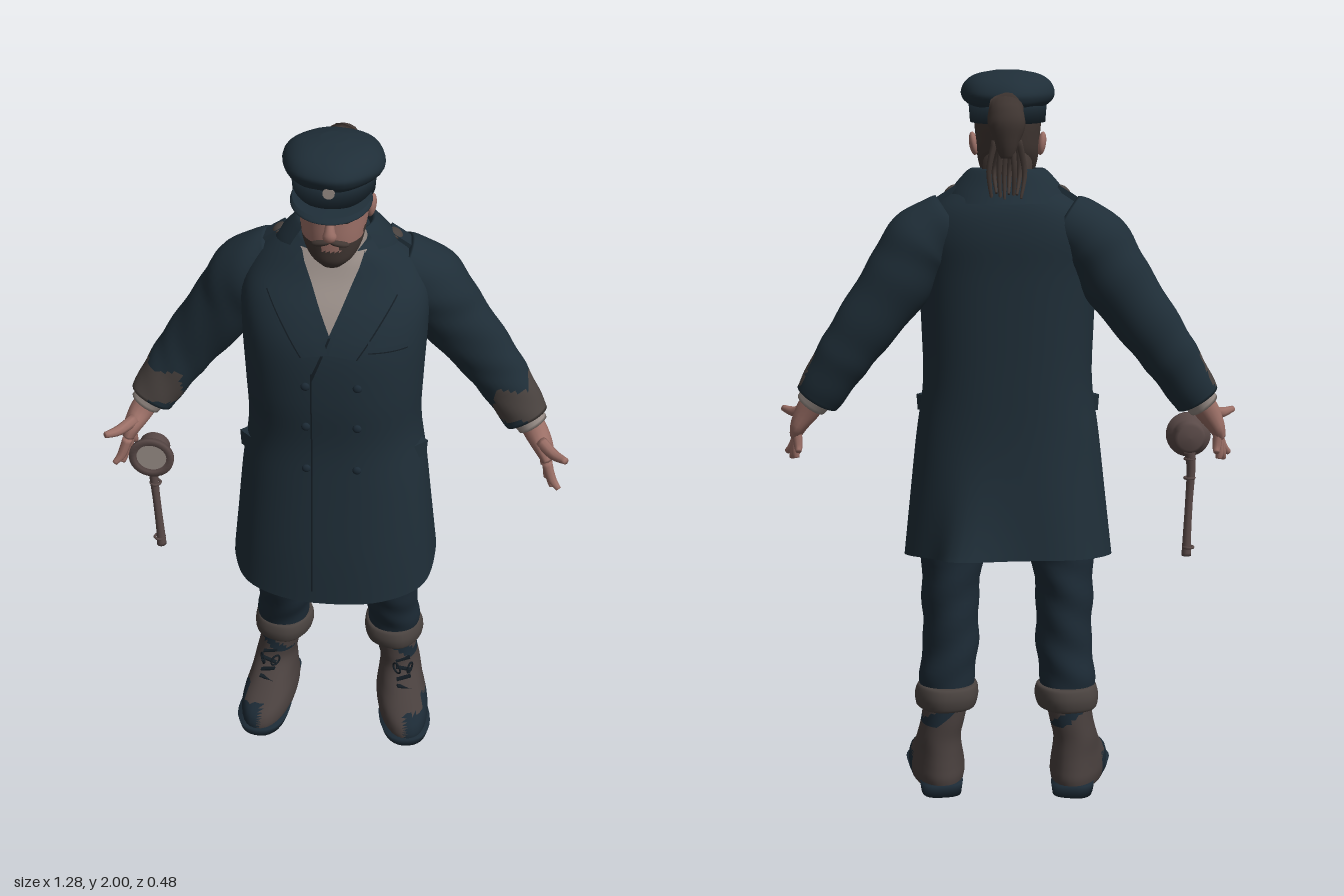
import * as THREE from 'three';

const mat = (name, color) => new THREE.MeshStandardMaterial({ name, color, side: THREE.DoubleSide });
const M = {
  coat: mat('coat navy', 0x1f2e38), trouser: mat('trouser navy', 0x1c2a35), dark: mat('seam dark', 0x131c23),
  boot: mat('boot brown', 0x483f3d), hair: mat('hair brown', 0x413733), skin: mat('skin', 0x9c7067),
  shirt: mat('shirt grey', 0x988d87), horn: mat('worn metal', 0x5a4a48), patch: mat('worn cloth', 0x49423f),
};
const V = (x, y, z) => new THREE.Vector3(x, y, z);

// Catmull-Rom smoothing of rows of numbers
function dense(rows, k = 5) {
  const out = [], at = i => rows[Math.max(0, Math.min(rows.length - 1, i))];
  for (let i = 0; i < rows.length - 1; i++) for (let q = 0; q < k; q++) {
    const t = q / k, [a, b, c, d] = [at(i - 1), at(i), at(i + 1), at(i + 2)];
    out.push(b.map((v, n) => 0.5 * (2 * v + (c[n] - a[n]) * t + (2 * a[n] - 5 * v + 4 * c[n] - d[n]) * t * t
      + (3 * v - a[n] - 3 * c[n] + d[n]) * t * t * t)));
  }
  out.push(rows[rows.length - 1]);
  return out;
}

// Skin a list of rings; pick(centre) chooses the material of each face
function skin(name, rings, mats, { pick = () => 0, open = false, caps = [true, true] } = {}) {
  const list = [].concat(mats), pts = rings.flat(), n = rings[0].length, idx = list.map(() => []);
  const tri = (a, b, c) => {
    const m = pts[a].clone().add(pts[b]).add(pts[c]).divideScalar(3);
    idx[pick(m)].push(a, b, c);
  };
  for (let i = 0; i < rings.length - 1; i++) for (let j = 0; j < (open ? n - 1 : n); j++) {
    const a = i * n + j, b = i * n + (j + 1) % n;
    tri(a, b, b + n); tri(a, b + n, a + n);
  }
  [0, rings.length - 1].forEach((r, e) => {
    if (!caps[e] || open) return;
    const c = pts.length;
    pts.push(rings[r].reduce((s, p) => s.add(p), V(0, 0, 0)).divideScalar(n));
    for (let j = 0; j < n; j++) {
      const a = r * n + j, b = r * n + (j + 1) % n;
      e ? tri(a, b, c) : tri(b, a, c);
    }
  });
  const g = new THREE.BufferGeometry().setFromPoints(pts);
  g.setIndex(idx.flat());
  let s = 0;
  idx.forEach((t, i) => { g.addGroup(s, t.length, i); s += t.length; });
  g.computeVertexNormals();
  const mesh = new THREE.Mesh(g, list.length > 1 ? list : list[0]);
  mesh.name = name;
  return mesh;
}

// Horizontal rings from rows [y, cx, cz, rx, rz, tilt]
function rings(rows, { seg = 32, n = 2, a0 = 0, a1 = Math.PI * 2, fold = () => 0, open = false } = {}) {
  const pw = v => Math.sign(v) * Math.abs(v) ** (2 / n);
  return rows.map(([y, cx, cz, rx, rz, tilt = 0]) => Array.from({ length: open ? seg + 1 : seg }, (_, j) => {
    const a = a0 + (a1 - a0) * j / seg, f = 1 + fold(a, y);
    const z = cz + rz * f * pw(Math.cos(a));
    return V(cx + rx * f * pw(Math.sin(a)), y + tilt * z, z);
  }));
}

// Limb along rows [x, y, z, ra, rb]
function limb(name, rows, mats, { seg = 16, k = 4, wrinkle = 0, ...opt } = {}) {
  const d = dense(rows, k), p = d.map(r => V(r[0], r[1], r[2]));
  const rs = d.map((r, i) => {
    const t = p[Math.min(i + 1, p.length - 1)].clone().sub(p[Math.max(i - 1, 0)]).normalize();
    const ref = Math.abs(t.z) > 0.9 ? V(0, 1, 0) : V(0, 0, 1);
    const v = ref.addScaledVector(t, -ref.dot(t)).normalize(), u = t.clone().cross(v);
    return Array.from({ length: seg }, (_, j) => {
      const a = j / seg * Math.PI * 2, f = 1 + wrinkle * Math.sin(i * 0.9 + 2.5 * Math.sin(a) + 2 * a);
      return p[i].clone().addScaledVector(u, r[3] * f * Math.sin(a)).addScaledVector(v, r[4] * f * Math.cos(a));
    });
  });
  return skin(name, rs, mats, opt);
}

const coatRows = dense([
  [.662, 0, .022, .29, .218, -.115], [.8, 0, .024, .276, .21, -.05], [1, 0, .024, .255, .194, 0], [1.15, 0, .022, .235, .188, 0],
  [1.3, 0, .027, .238, .192, 0], [1.45, 0, .022, .245, .187, 0], [1.55, 0, 0, .245, .168, 0], [1.62, 0, -.02, .212, .138, 0],
  [1.67, 0, -.02, .155, .114, 0], [1.7, 0, -.015, .095, .095, 0]]);
const POW = 2.4;
// Depth of the coat at (x, y), front (side 1) or back (side -1)
function coatZ(x, y, side = 1) {
  let i = coatRows.findIndex(r => r[0] >= y);
  i = i < 0 ? coatRows.length - 1 : Math.max(1, i);
  const a = coatRows[i - 1], b = coatRows[i], t = Math.min(1, Math.max(0, (y - a[0]) / (b[0] - a[0])));
  const [, , cz, rx, rz] = a.map((v, n) => v + (b[n] - v) * t);
  return cz + side * rz * (1 - Math.min(1, Math.abs(x / rx)) ** POW) ** (1 / POW);
}
// Thin cloth patch laid on the coat between four [x, y] corners
function drape(name, material, c, off, side = 1) {
  const g = new THREE.PlaneGeometry(1, 1, 8, 10), P = g.attributes.position;
  for (let i = 0; i < P.count; i++) {
    const u = P.getX(i) + .5, v = P.getY(i) + .5;
    const [x, y] = [0, 1].map(k => (c[0][k] * (1 - u) + c[1][k] * u) * (1 - v) + (c[3][k] * (1 - u) + c[2][k] * u) * v);
    P.setXYZ(i, x, y, coatZ(x, y, side) + side * off);
  }
  g.computeVertexNormals();
  const m = new THREE.Mesh(g, material);
  m.name = name;
  return m;
}
const flip = (c, s) => s > 0 ? c : [1, 0, 3, 2].map(i => [-c[i][0], c[i][1]]);

export function createModel() {
  const root = new THREE.Group();
  const add = (...m) => root.add(...m);
  const solid = (name, g, material, x, y, z, sc = [1, 1, 1], rot = [0, 0, 0]) => {
    const m = new THREE.Mesh(g, material);
    m.name = name; m.position.set(x, y, z); m.scale.set(...sc); m.rotation.set(...rot);
    add(m);
  };
  const ball = new THREE.SphereGeometry(1, 16, 12), box = new THREE.BoxGeometry(1, 1, 1);

  // Coat body, its tails flaring more behind the left leg
  const bump = (a, c, w) => Math.exp(-(((a - c) / w) ** 2));
  const fold = (a, y) => {
    const d = Math.max(0, 1 - y) / .34;
    return d * .012 * Math.sin(7 * a + 1) * (1 - Math.max(0, Math.cos(a)) ** 2) + d * d * (.22 * bump(a, 2.85, .25) + .04 * bump(a, 3.9, .4));
  };
  add(skin('coatBody', rings(coatRows, { seg: 64, n: POW, fold }), M.coat, { caps: [false, true] }));
  add(skin('coatCollar', rings(dense([[1.645, 0, -.03, .17, .134], [1.685, 0, -.025, .148, .114], [1.735, 0, -.02, .1, .092],
    [1.71, 0, -.015, .086, .084]]), { open: true, a0: .85, a1: Math.PI * 2 - .85 }), M.coat, { open: true }));
  add(drape('shirtFront', M.shirt, [[0, 1.505], [0, 1.505], [.085, 1.69], [-.085, 1.69]], .005));
  add(drape('coatOpening', M.dark, [[-.047, .68], [-.043, .68], [-.043, 1.4], [-.047, 1.4]], .005));
  add(drape('lapelOverlap', M.dark, [[-.047, 1.39], [-.042, 1.38], [.004, 1.5], [-.002, 1.5]], .006));
  add(drape('breastPocket', M.coat, [[.1, 1.465], [.2, 1.46], [.2, 1.49], [.1, 1.495]], .009));
  add(drape('breastPocketEdge', M.dark, [[.1, 1.46], [.2, 1.455], [.2, 1.46], [.1, 1.465]], .006));
  for (const y of [1.36, 1.23, 1.09]) for (const x of [-.06, .075])
    solid('coatButton', ball, M.trouser, x, y, coatZ(x, y) + .003, [.012, .012, .007]);

  for (const s of [1, -1]) {
    // Lapel, pocket flap and shoulder strap
    add(drape('lapel', M.coat, flip([[0, 1.46], [.07, 1.45], [.165, 1.59], [.08, 1.69]], s), .012));
    add(drape('lapelEdge', M.dark, flip([[.07, 1.446], [.074, 1.446], [.169, 1.588], [.165, 1.59]], s), .008));
    solid('pocketFlap', box, M.coat, s * .205, 1.085, .108, [.12, .045, .03], [0, s * .85, -s * .1]);
    solid('shoulderStrap', box, M.coat, s * .19, 1.65, -.045, [.13, .014, .05], [0, 0, -s * .58]);
    solid('strapButton', ball, M.patch, s * .152, 1.678, -.04, [.02, .01, .022], [0, 0, -s * .58]);

    // Sleeve with worn cuff
    add(limb('sleeve', [[s * .15, 1.59, -.045, .085, .088], [s * .232, 1.535, -.055, .099, .1], [s * .3, 1.43, -.068, .095, .088],
      [s * .4, 1.293, -.077, .082, .068], [s * .465, 1.2, -.07, .073, .06], [s * .522, 1.11, -.053, .064, .054]], [M.coat, M.patch], {
      seg: 32, k: 8, wrinkle: .018,
      pick: p => p.y < 1.235 + .02 * Math.sin(p.z * 70) && p.y > 1.13 + .02 * Math.sin(p.z * 60) && p.z > -.09
        && Math.abs(p.x) > .43 ? 1 : 0 }));
    add(limb('shirtCuff', [[s * .515, 1.125, -.054, .048, .044], [s * .541, 1.09, -.046, .044, .038]], M.shirt));

    // Hand: palm, four fingers and thumb
    add(limb('palm', [[s * .52, 1.12, -.052, .033, .03], [s * .55, 1.075, -.036, .034, .033], [s * .575, 1.035, -.015, .026, .046],
      [s * .588, 1.005, -.002, .018, .04]], M.skin));
    [[.602, .965, .036, .622, .937, .047], [.598, .955, .014, .605, .925, .022], [.59, .957, -.012, .588, .93, -.014],
      [.58, .975, -.035, .578, .953, -.046]].forEach(([x, y, z, X, Y, Z], i) =>
      add(limb('finger', [[s * .584, 1.015, .028 - i * .02, .014, .014], [s * x, y, z, .0125, .0125], [s * X, Y + .004, Z, .008, .008]],
        M.skin, { seg: 8 })));
    add(limb('thumb', [[s * .565, 1.065, .002, .018, .017], [s * .6, 1.055, .043, .015, .015], [s * .634, 1.06, .077, .009, .009]],
      M.skin, { seg: 8 }));

    // Trouser leg and rolled cuff
    add(skin('trouserLeg', rings(dense([[.8, s * .125, -.03, .12, .13], [.68, s * .15, -.04, .09, .118], [.55, s * .16, -.047, .08, .112],
      [.43, s * .158, -.065, .078, .095], [.34, s * .168, -.085, .078, .082], [.27, s * .17, -.09, .07, .075]]),
    { fold: (a, y) => .03 * Math.sin(y * 55 + 3 * Math.sin(a * s)) }), M.trouser));
    add(skin('rolledCuff', rings(dense([[.245, s * .17, -.093, .07, .075], [.25, s * .17, -.093, .083, .09], [.28, s * .168, -.093, .089, .097],
      [.308, s * .166, -.093, .083, .09], [.312, s * .166, -.093, .07, .075]]), { fold: a => .02 * Math.sin(5 * a) }), M.patch));

    // Boot, turned outwards
    const boot = new THREE.Group();
    boot.name = 'boot';
    boot.position.set(s * .19, 0, -.09);
    boot.rotation.y = s * .17;
    boot.add(skin('bootUpper', rings(dense([[.022, 0, .082, .072, .168], [.05, 0, .08, .077, .17], [.08, 0, .072, .074, .157],
      [.115, 0, .038, .066, .117], [.16, 0, .008, .06, .083], [.21, -s * .01, 0, .06, .077], [.27, -s * .02, 0, .063, .076]]), { n: 2.2 }),
    [M.boot, M.trouser], { pick: p => s * p.x > -.01 && p.z > .05 && p.y < .095 + .012 * Math.sin(p.z * 60)
      || p.y > .2 && Math.sin(p.x * 50 + p.y * 60) > .3 ? 1 : 0 }));
    boot.add(skin('sole', rings([[.008, 0, .15, .07, .105], [.035, 0, .15, .078, .108]], { n: 2.3 }), M.trouser));
    boot.add(skin('heel', rings([[0, 0, -.025, .055, .062], [.035, 0, -.025, .06, .066]], { n: 3 }), M.trouser));
    for (let i = 0; i < 4; i++) {
      const lace = new THREE.Mesh(box, M.dark);
      lace.name = 'lace';
      lace.position.set(0, .13 + i * .024, .126 - i * .016);
      lace.scale.set(.045, .005, .012);
      lace.rotation.z = i % 2 ? .3 : -.3;
      boot.add(lace);
    }
    for (const t of [-1, 1]) {
      const loop = new THREE.Mesh(new THREE.TorusGeometry(.017, .003, 6, 14), M.dark);
      loop.name = 'laceLoop';
      loop.position.set(t * .02, .18, .095);
      loop.rotation.y = t;
      boot.add(loop);
    }
    add(boot);

    // Ear, eye, brow and moustache
    solid('ear', ball, M.skin, s * .093, 1.8, .035, [.012, .032, .02], [0, 0, -s * .15]);
    solid('eye', ball, M.hair, s * .036, 1.818, .158, [.013, .005, .006]);
    solid('brow', box, M.hair, s * .038, 1.836, .162, [.036, .006, .01], [0, s * .3, s * .12]);
    solid('moustache', ball, M.hair, s * .022, 1.757, .158, [.028, .009, .013], [0, s * .3, -s * .3]);
  }

  // Neck, shirt collar open at the back, head with beard and short hair
  add(skin('neck', rings([[1.6, 0, .01, .068, .07], [1.7, 0, .015, .067, .075], [1.78, 0, .025, .068, .08]]), [M.skin, M.hair],
    { pick: p => p.z < .03 ? 1 : 0 }));
  add(skin('shirtCollar', rings(dense([[1.64, 0, .012, .087, .085], [1.69, 0, .02, .083, .083], [1.73, 0, .022, .077, .076]]),
    { open: true, a0: -1.7, a1: 1.7 }), M.shirt, { open: true }));
  add(skin('head', rings(dense([[1.675, 0, .112, .028, .03], [1.697, 0, .1, .055, .055], [1.728, 0, .08, .074, .08], [1.77, 0, .06, .084, .105],
    [1.82, 0, .052, .088, .115], [1.87, 0, .05, .092, .12], [1.93, 0, .05, .09, .115]]), { seg: 48, n: 2.15 }), [M.skin, M.hair],
  { pick: p => p.z < .05 || p.y < 1.75 && !(Math.abs(p.x) < .025 && p.y > 1.732) || p.y < 1.775 && p.z < .1 ? 1 : 0 }));
  add(limb('nose', [[0, 1.835, .16, .009, .008], [0, 1.8, .172, .013, .014], [0, 1.783, .174, .018, .016], [0, 1.772, .166, .012, .01]], M.skin));

  // Cap: band, soft domed crown, visor and plain badge
  add(skin('capBand', rings([[1.856, 0, .055, .103, .13, .06], [1.92, 0, .056, .108, .135, .06]], { seg: 40 }), M.coat));
  add(skin('capCrown', rings(dense([[1.9, 0, .056, .105, .132, .08], [1.915, 0, .057, .122, .142, .08], [1.936, 0, .058, .128, .145, .08],
    [1.963, 0, .058, .116, .122, .07], [1.984, 0, .06, .085, .08, .05], [1.996, 0, .06, .03, .03, .03]]),
  { seg: 40, fold: a => .014 * Math.sin(6 * a) }), M.coat));
  add(skin('capVisor', rings(dense([[1.872, 0, .11, .09, .075, -.14], [1.88, 0, .125, .102, .105, -.14], [1.89, 0, .12, .097, .095, -.14]])), M.coat));
  solid('capBadge', new THREE.CylinderGeometry(.015, .015, .006, 16), M.shirt, 0, 1.915, .194, [1, 1, 1], [Math.PI / 2, 0, 0]);

  // Tied hair with loose strands
  add(limb('hairTie', [[0, 1.85, -.05, .025, .025], [0, 1.875, -.1, .024, .024]], M.patch));
  add(limb('tiedHair', [[0, 1.905, -.1, .025, .018], [.003, 1.9, -.135, .046, .036], [0, 1.86, -.145, .048, .038], [0, 1.81, -.15, .036, .028],
    [0, 1.765, -.148, .016, .012]], M.hair, { wrinkle: .06 }));
  for (let i = 0; i < 8; i++) {
    const x = (i - 3.5) * .009, b = Math.sin(i * 2.4) * .016;
    add(limb('hairStrand', [[x, 1.81, -.147, .01, .01], [x * 1.5, 1.73, -.135 + b, .008, .008], [x * 1.2, 1.66 + b, -.158 - b, .004, .004]], M.hair, { seg: 6 }));
  }

  // Flared horn on a long rod, held in the right hand
  const prof = [[0, 0], [.034, .002], [.043, .012], [.043, .046], [.048, .056], [.063, .066], [.063, .078], [.046, .08], [.042, .07], [0, .07]];
  solid('hornCup', new THREE.LatheGeometry(prof.map(p => new THREE.Vector2(...p)), 28), M.horn, -.51, .988, 0, [1, 1, 1], [Math.PI / 2, 0, 0]);
  solid('hornFace', new THREE.CircleGeometry(.042, 24), M.shirt, -.51, .988, .073);
  add(limb('hornRod', [[-.51, .95, .03, .017, .017], [-.516, .9, .032, .013, .013], [-.512, .8, .035, .011, .011], [-.508, .7, .035, .012, .012],
    [-.507, .645, .035, .014, .014]], M.horn, { seg: 10 }));
  for (const y of [.925, .87, .67]) solid('rodRing', new THREE.TorusGeometry(.014, .004, 6, 14), M.horn, -.512, y, .033, [1, 1, 1], [Math.PI / 2, 0, 0]);
  return root;
}
